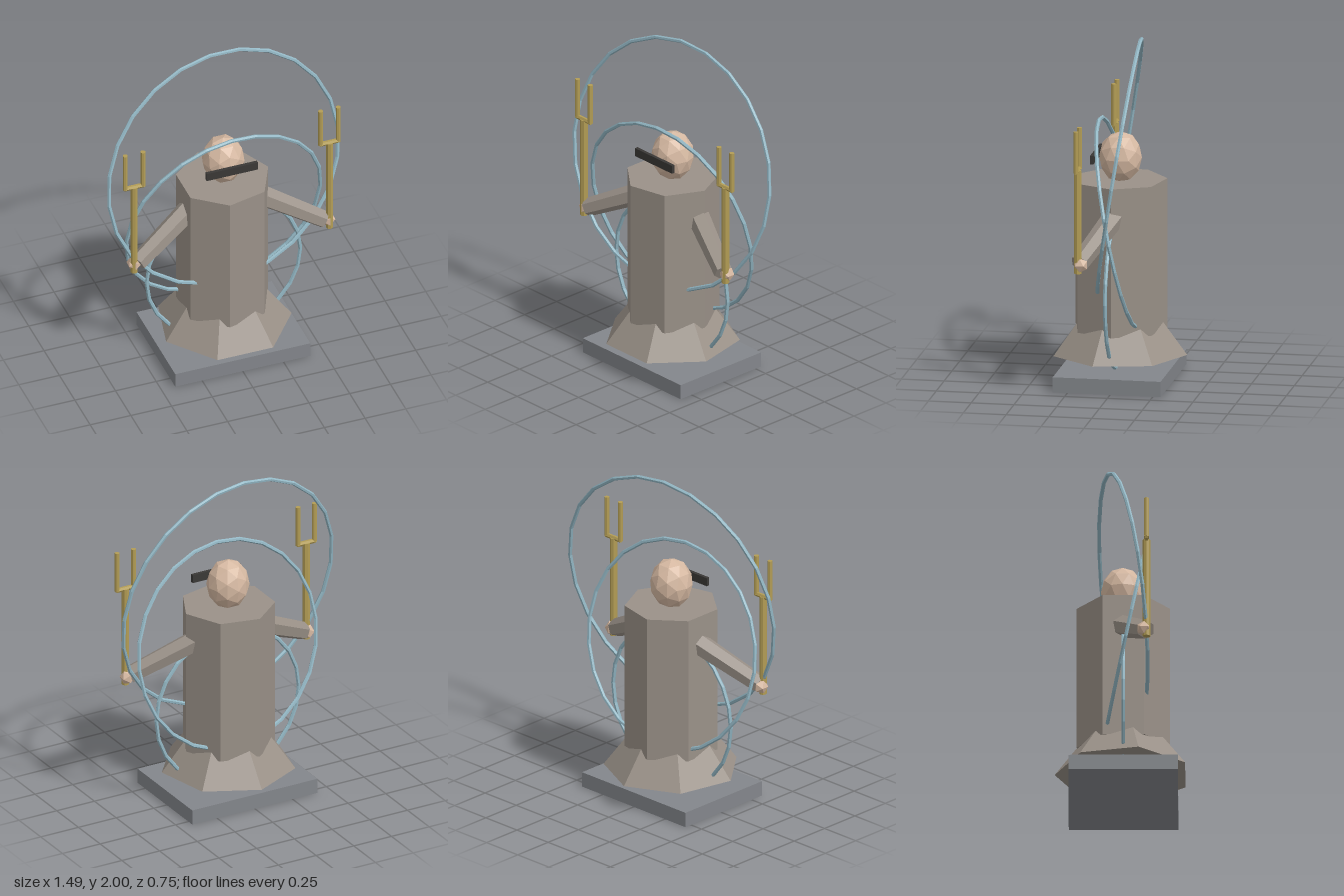
import * as THREE from 'three';

const mat = (color) => new THREE.MeshStandardMaterial({ color, flatShading: true });

export function createModel() {
  const model = new THREE.Group();
  const robe = mat(0x9a9188), skin = mat(0xd6b9a2), brass = mat(0xb39d55);
  const stone = mat(0x83868b), dark = mat(0x3a3836), hoopBlue = mat(0x93b7c4);
  const Z = 0.02; // depth of the body axis

  function add(name, geometry, material, x, y, z, parent = model) {
    const mesh = new THREE.Mesh(geometry, material);
    mesh.name = name;
    mesh.position.set(x, y, z);
    parent.add(mesh);
    return mesh;
  }

  // Tapered rod between two points
  function rod(name, a, b, rA, rB, sides, material, parent) {
    const dir = b.clone().sub(a);
    const mid = a.clone().add(b).multiplyScalar(0.5);
    const mesh = add(name, new THREE.CylinderGeometry(rB, rA, dir.length(), sides), material, mid.x, mid.y, mid.z, parent);
    mesh.quaternion.setFromUnitVectors(new THREE.Vector3(0, 1, 0), dir.normalize());
    return mesh;
  }

  // Plinth
  add('base', new THREE.BoxGeometry(0.83, 0.09, 0.63), stone, 0, 0.045, Z);

  // Seven-sided robe and its flared hem
  add('torso', new THREE.CylinderGeometry(0.275, 0.275, 0.88, 7, 1, false, Math.PI / 2), robe, 0, 0.74, Z);
  add('hem', new THREE.CylinderGeometry(0.245, 0.395, 0.2, 7, 1, false, Math.PI), robe, 0, 0.255, Z);

  // Faceted head and visor
  const head = add('head', new THREE.IcosahedronGeometry(0.125, 1), skin, 0, 1.31, 0.015);
  head.scale.y = 1.2;
  add('visor', new THREE.BoxGeometry(0.315, 0.05, 0.02), dark, 0, 1.32, 0.155);

  // Arms, hands and two-pronged forks on both sides
  for (const s of [1, -1]) {
    const side = s > 0 ? 'left' : 'right';
    const v = (x, y, z) => new THREE.Vector3(s * x, y, z);
    rod(side + 'Arm', v(0.2, 1.005, 0.01), v(0.575, 0.81, 0.15), 0.066, 0.054, 6, robe);
    add(side + 'Hand', new THREE.IcosahedronGeometry(0.045, 0), skin, s * 0.595, 0.805, 0.14);

    const fork = new THREE.Group();
    fork.name = side + 'Fork';
    model.add(fork);
    rod('shaft', v(0.6, 0.755, 0.155), v(0.6, 1.365, 0.155), 0.022, 0.022, 8, brass, fork);
    rod('crossbar', v(0.54, 1.365, 0.155), v(0.66, 1.365, 0.155), 0.014, 0.014, 6, brass, fork);
    for (const x of [0.546, 0.654]) {
      rod('prong', v(x, 1.36, 0.155), v(x, 1.605, 0.155), 0.015, 0.015, 8, brass, fork);
    }
  }

  // Three tilted hoops: radius, height, slope of z along x and y, spin
  const hoops = [
    ['largeHoop', 0.74, 1.257, -0.11, -0.16, 0.05],
    ['middleHoop', 0.615, 0.92, -0.08, 0.2, 0],
    ['smallHoop', 0.472, 0.54, 0, 0, 0],
  ];
  for (const [name, radius, y, slopeX, slopeY, spin] of hoops) {
    const ring = new THREE.TorusGeometry(radius, 0.012, 6, 24).rotateZ(spin);
    const hoop = add(name, ring, hoopBlue, 0, y, Z);
    const normal = new THREE.Vector3(-slopeX, -slopeY, 1).normalize();
    hoop.quaternion.setFromUnitVectors(new THREE.Vector3(0, 0, 1), normal);
  }

  return model;
}
